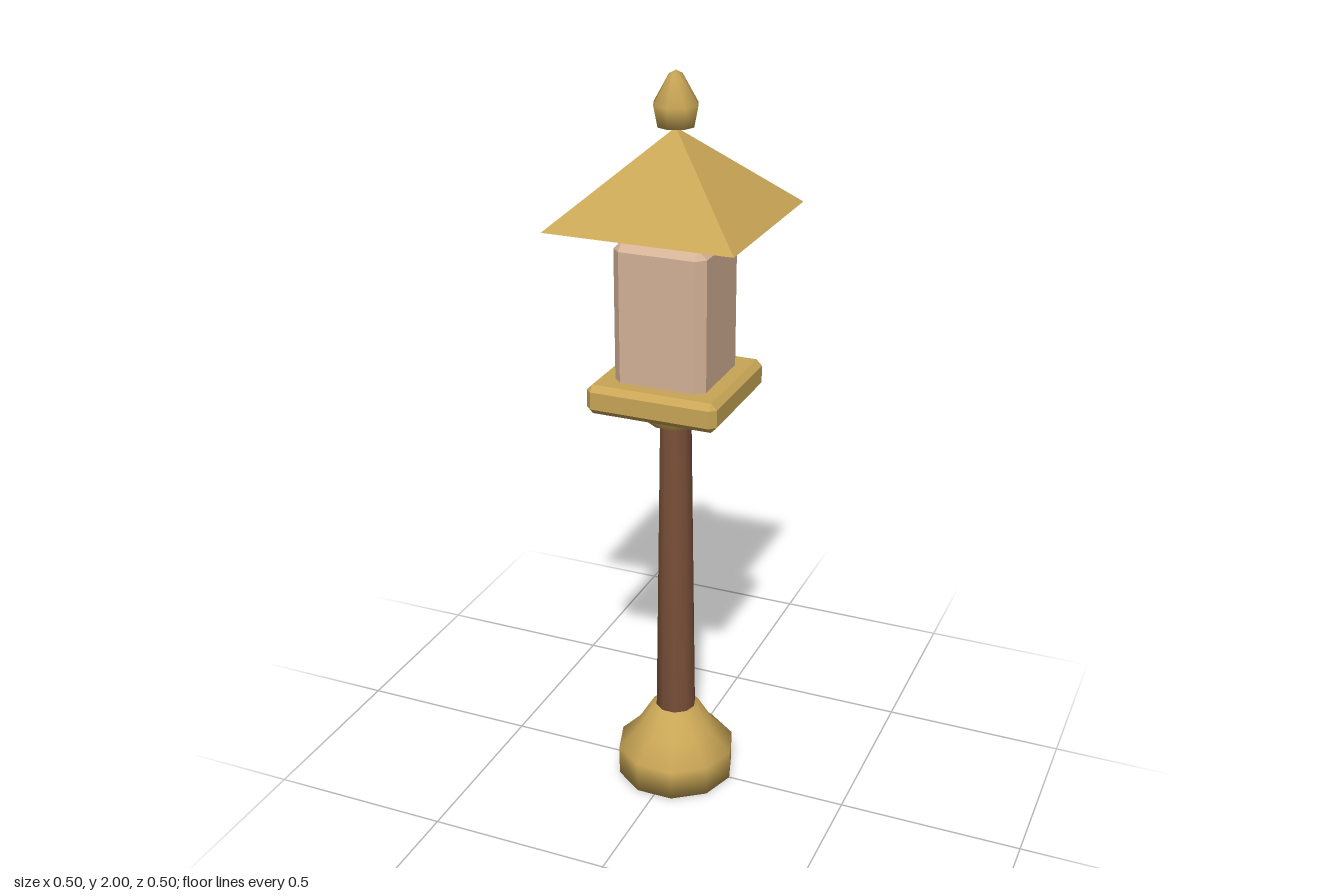
import * as THREE from 'three';
import { mergeVertices } from 'three/addons/utils/BufferGeometryUtils.js';
import { ConvexGeometry } from 'three/addons/geometries/ConvexGeometry.js';

const material = (name, color) => {
  const m = new THREE.MeshStandardMaterial({ color });
  m.name = name;
  return m;
};

// Turned solid, smoothed over every edge, with a corner on the x axis
function turned(profile, sides) {
  let g = new THREE.LatheGeometry(profile.map(([r, y]) => new THREE.Vector2(r, y)), sides);
  g.deleteAttribute('normal');
  g.deleteAttribute('uv');
  g = mergeVertices(g, 1e-5);
  g.rotateY(Math.PI / 2);
  g.computeVertexNormals();
  return g;
}

// Square block with all edges and corners chamfered by c
function chamferedBlock(half, y0, y1, c) {
  const points = [];
  const mid = (y0 + y1) / 2, hy = (y1 - y0) / 2;
  for (const sx of [-1, 1]) for (const sy of [-1, 1]) for (const sz of [-1, 1]) {
    for (const [ax, ay, az] of [[0, c, c], [c, 0, c], [c, c, 0]]) {
      points.push(new THREE.Vector3(sx * (half - ax), mid + sy * (hy - ay), sz * (half - az)));
    }
  }
  return new ConvexGeometry(points);
}

export function createModel() {
  const group = new THREE.Group();
  const gold = material('gold', 0xc9a656);
  const wood = material('brown wood', 0x7a5039);
  const pane = material('warm pane', 0xd6b398);

  const add = (name, geometry, mat) => {
    const mesh = new THREE.Mesh(geometry, mat);
    mesh.name = name;
    group.add(mesh);
    return mesh;
  };

  // Foot and post
  add('base', turned([[0, 0], [0.165, 0], [0.165, 0.085], [0.11, 0.14], [0.066, 0.213], [0, 0.213]], 10), gold);
  add('post', turned([[0, 0.19], [0.056, 0.19], [0.042, 1.11], [0, 1.11]], 10), wood);

  // Collar and platform under the lamp
  add('collar', turned([[0, 1.09], [0.079, 1.09], [0.079, 1.16], [0, 1.16]], 10), gold);
  add('platform', chamferedBlock(0.178, 1.143, 1.222, 0.016), gold);

  // Lamp housing
  add('lantern', chamferedBlock(0.125, 1.19, 1.592, 0.023), pane);

  // Four-sided roof, floating just above the lantern
  const roof = new THREE.ConeGeometry(0.249 * Math.SQRT2, 0.225, 4, 1).toNonIndexed();
  roof.rotateY(Math.PI / 4);
  roof.translate(0, 1.636 + 0.1125, 0);
  roof.computeVertexNormals();
  add('roof', roof, gold);

  // Finial
  add('finial', turned([[0, 1.864], [0.048, 1.864], [0.059, 1.918], [0.018, 1.99], [0, 2]], 8), gold);

  return group;
}
